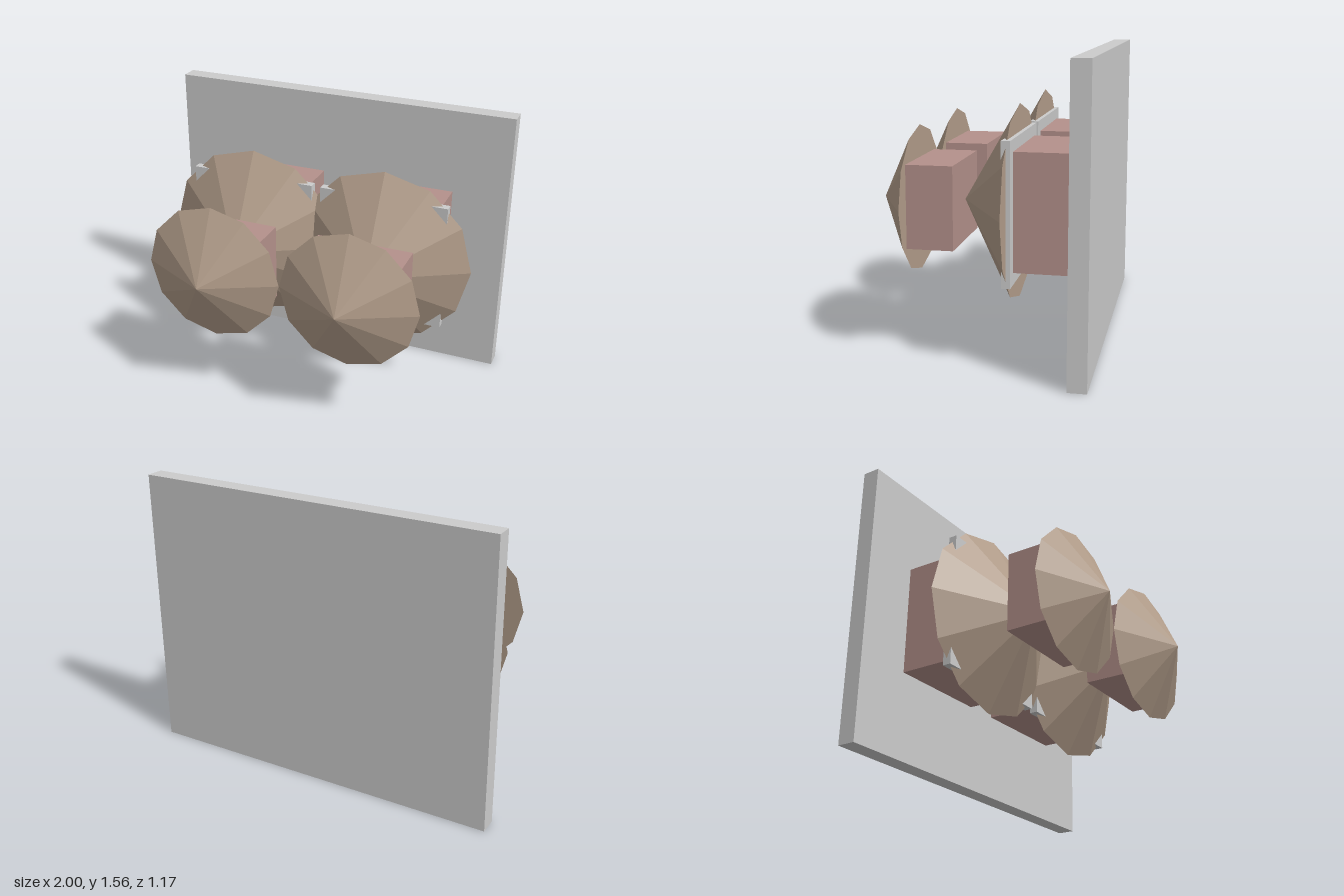
import * as THREE from 'three';

const grey = new THREE.MeshStandardMaterial({ color: 0xcccccc, flatShading: true });
const clay = new THREE.MeshStandardMaterial({ color: 0xb4918b, flatShading: true });
const tan = new THREE.MeshStandardMaterial({ color: 0xb39e8b, flatShading: true });

const MID_Y = 0.78;

// Box spanning z0 to z1, centred on x = 0 and y = 0 of its parent
function block(name, width, height, z0, z1, material) {
  const mesh = new THREE.Mesh(new THREE.BoxGeometry(width, height, z1 - z0), material);
  mesh.position.z = (z0 + z1) / 2;
  mesh.name = name;
  return mesh;
}

// Twelve-sided cone with its base at z0 and its tip forward at z1
function spike(name, radius, z0, z1) {
  const geometry = new THREE.ConeGeometry(radius, z1 - z0, 12).rotateX(Math.PI / 2);
  const mesh = new THREE.Mesh(geometry, tan);
  mesh.position.z = (z0 + z1) / 2;
  mesh.name = name;
  return mesh;
}

export function createModel() {
  const model = new THREE.Group();
  model.name = 'wallMountedCones';

  // Upright back plate
  const plate = block('backPlate', 2, 1.56, -0.585, -0.487, grey);
  plate.position.y = MID_Y;
  model.add(plate);

  // Two matching stacks of block, flange and cone
  for (const side of [-1, 1]) {
    const stack = new THREE.Group();
    stack.name = side > 0 ? 'leftStack' : 'rightStack';
    stack.position.set(side * 0.39, MID_Y, 0);
    stack.add(
      block('rearBlock', 0.585, 0.61, -0.487, -0.168, clay),
      block('flange', 0.73, 0.735, -0.168, -0.122, grey),
      spike('rearCone', 0.512, -0.146, 0.146),
      block('frontBlock', 0.53, 0.435, 0.146, 0.39, clay),
      spike('frontCone', 0.389, 0.39, 0.585)
    );
    model.add(stack);
  }
  return model;
}
